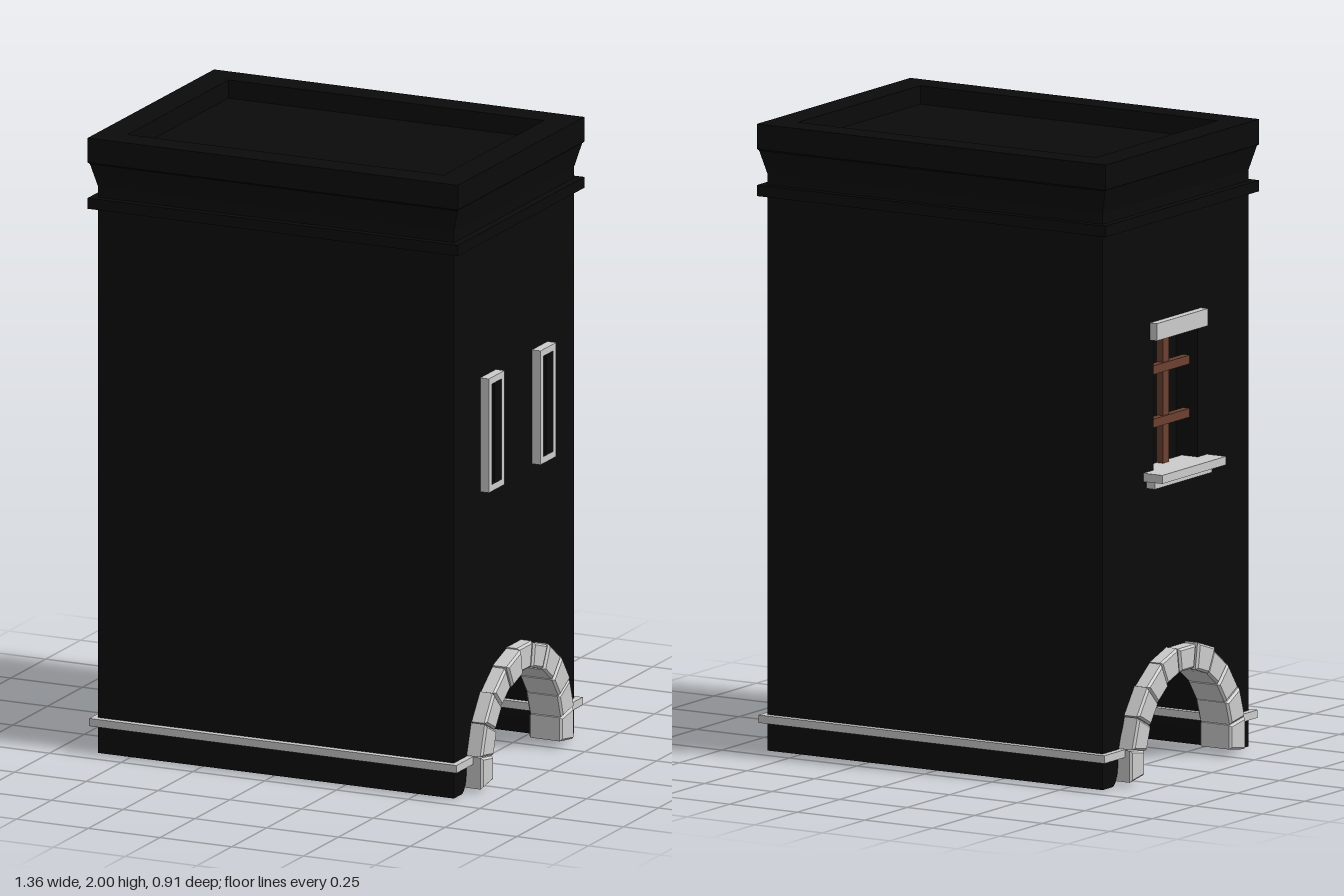
import * as THREE from 'three';

const mat = (color, extra = {}) => new THREE.MeshStandardMaterial({ color, ...extra });

export function createModel() {
  const black = mat(0x0b0b0b, { flatShading: true });
  const grey = mat(0xcccccc, { flatShading: true });
  const brown = mat(0x6b4030);

  const tower = new THREE.Group();
  tower.name = 'gateTower';
  tower.position.x = 0.005;

  const add = (name, geo, material, parent = tower) => {
    const m = new THREE.Mesh(geo, material);
    m.name = name;
    parent.add(m);
    return m;
  };
  // Box given by its min and max corners
  const box = (name, [x0, y0, z0], [x1, y1, z1], material, parent) =>
    add(name, new THREE.BoxGeometry(x1 - x0, y1 - y0, z1 - z0), material, parent)
      .position.set((x0 + x1) / 2, (y0 + y1) / 2, (z0 + z1) / 2);
  // Extrude a side profile (drawn as -z, y) along x, from x0 to x1
  const alongX = (shape, x0, x1, bevel = 0) => {
    const g = new THREE.ExtrudeGeometry(shape, {
      depth: x1 - x0 - 2 * bevel, bevelEnabled: bevel > 0, bevelSize: bevel,
      bevelThickness: bevel, bevelSegments: 1, curveSegments: 24,
    });
    g.translate(0, 0, x0 + bevel);
    return g.rotateY(Math.PI / 2);
  };
  const rect = (z0, y0, z1, y1, C = THREE.Path) => {
    const s = new C();
    s.moveTo(-z0, y0).lineTo(-z1, y0).lineTo(-z1, y1).lineTo(-z0, y1).closePath();
    return s;
  };

  // Walls with the arched passage cut through the bottom
  const wallShape = () => {
    const s = new THREE.Shape();
    s.moveTo(-0.43, 0).lineTo(-0.37, 0).quadraticCurveTo(-0.345, 0.01, -0.34, 0.06);
    s.absellipse(0, 0.06, 0.34, 0.3, Math.PI, 0, true);
    s.quadraticCurveTo(0.345, 0.01, 0.37, 0).lineTo(0.43, 0).lineTo(0.43, 1.86).lineTo(-0.43, 1.86);
    s.closePath();
    return s;
  };
  add('wallCore', alongX(wallShape(), -0.54, 0.54), black);

  // Right face: two slit windows
  const slits = [0.185, -0.185];
  const rightWall = wallShape();
  slits.forEach((z) => rightWall.holes.push(rect(z - 0.045, 0.96, z + 0.045, 1.31)));
  add('rightWall', alongX(rightWall, 0.54, 0.62), black);
  slits.forEach((z) => {
    const frame = rect(z - 0.056, 0.95, z + 0.056, 1.32, THREE.Shape);
    frame.holes.push(rect(z - 0.034, 0.972, z + 0.034, 1.298));
    add('slitWindowFrame', alongX(frame, 0.58, 0.65), grey);
  });

  // Left face: barred window with sill and lintel
  const leftWall = wallShape();
  leftWall.holes.push(rect(-0.13, 0.96, 0.13, 1.4));
  add('leftWall', alongX(leftWall, -0.62, -0.54), black);
  const win = new THREE.Group();
  win.name = 'barredWindow';
  tower.add(win);
  box('lintel', [-0.645, 1.39, -0.15], [-0.56, 1.445, 0.15], grey, win);
  box('sill', [-0.69, 0.945, -0.19], [-0.56, 0.972, 0.186], grey, win);
  box('sillBase', [-0.65, 0.92, -0.17], [-0.56, 0.945, 0.166], grey, win);
  box('verticalBar', [-0.585, 0.965, -0.018], [-0.56, 1.395, 0.018], brown, win);
  [1.11, 1.28].forEach((y) =>
    box('crossBar', [-0.59, y - 0.014, -0.13], [-0.565, y + 0.014, 0.13], brown, win));

  // Base strip around each leg, and upper band
  [1, -1].forEach((s) => {
    const z = [0.315 * s, 0.452 * s].sort((a, b) => a - b);
    box('baseStrip', [-0.64, 0.09, z[0]], [0.64, 0.115, z[1]], grey);
  });
  box('upperBand', [-0.645, 1.77, -0.453], [0.645, 1.805, 0.453], black);

  // Flared cornice with a sunken roof: rectangles [half x, half z, y] joined in order
  const rings = [
    [0.62, 0.43, 1.84], [0.64, 0.447, 1.915], [0.645, 0.4525, 1.92],
    [0.645, 0.4525, 2], [0.55, 0.36, 2], [0.55, 0.36, 1.94],
  ];
  const pos = [];
  const corner = ([x, z, y], i) => {
    const [a, b] = [[-1, 1], [1, 1], [1, -1], [-1, -1]][i % 4];
    return [a * x, y, b * z];
  };
  for (let r = 0; r < rings.length - 1; r++) {
    for (let i = 0; i < 4; i++) {
      const a = corner(rings[r], i), b = corner(rings[r], i + 1);
      const c = corner(rings[r + 1], i + 1), d = corner(rings[r + 1], i);
      pos.push(...a, ...b, ...c, ...a, ...c, ...d);
    }
  }
  const cornice = new THREE.BufferGeometry();
  cornice.setAttribute('position', new THREE.Float32BufferAttribute(pos, 3));
  cornice.computeVertexNormals();
  add('cornice', cornice, black);
  box('roof', [-0.56, 1.87, -0.37], [0.56, 1.941, 0.37], black);

  // Stone arches at both ends of the passage, each stone slightly uneven
  let seed = 7;
  const rnd = () => ((seed = (seed * 16807) % 2147483647) / 2147483647 - 0.5);
  const count = 11, step = (18 * Math.PI) / 180, bevel = 0.007;
  [1, -1].forEach((side) => {
    const arch = new THREE.Group();
    arch.name = side > 0 ? 'rightArch' : 'leftArch';
    tower.add(arch);
    for (let i = 0; i < count; i++) {
      const mid = Math.PI / 2 + (i - (count - 1) / 2) * step;
      const half = step / 2;
      const rIn = 0.254 + bevel + rnd() * 0.008, rOut = 0.338 - bevel + rnd() * 0.01;
      const pt = (r, s) => {
        const a = mid + s * (half - (bevel + 0.001) / r);
        return new THREE.Vector2(Math.cos(a) * r, 0.062 + Math.sin(a) * r);
      };
      const stone = new THREE.Shape([pt(rIn, -1), pt(rOut, -1), pt(rOut, 1), pt(rIn, 1)]);
      const outer = 0.668 + rnd() * 0.014;
      const span = side > 0 ? [0.55, outer] : [-outer, -0.55];
      add('archStone', alongX(stone, ...span, bevel), grey, arch);
    }
  });

  const group = new THREE.Group();
  group.name = 'model';
  group.add(tower);
  return group;
}
